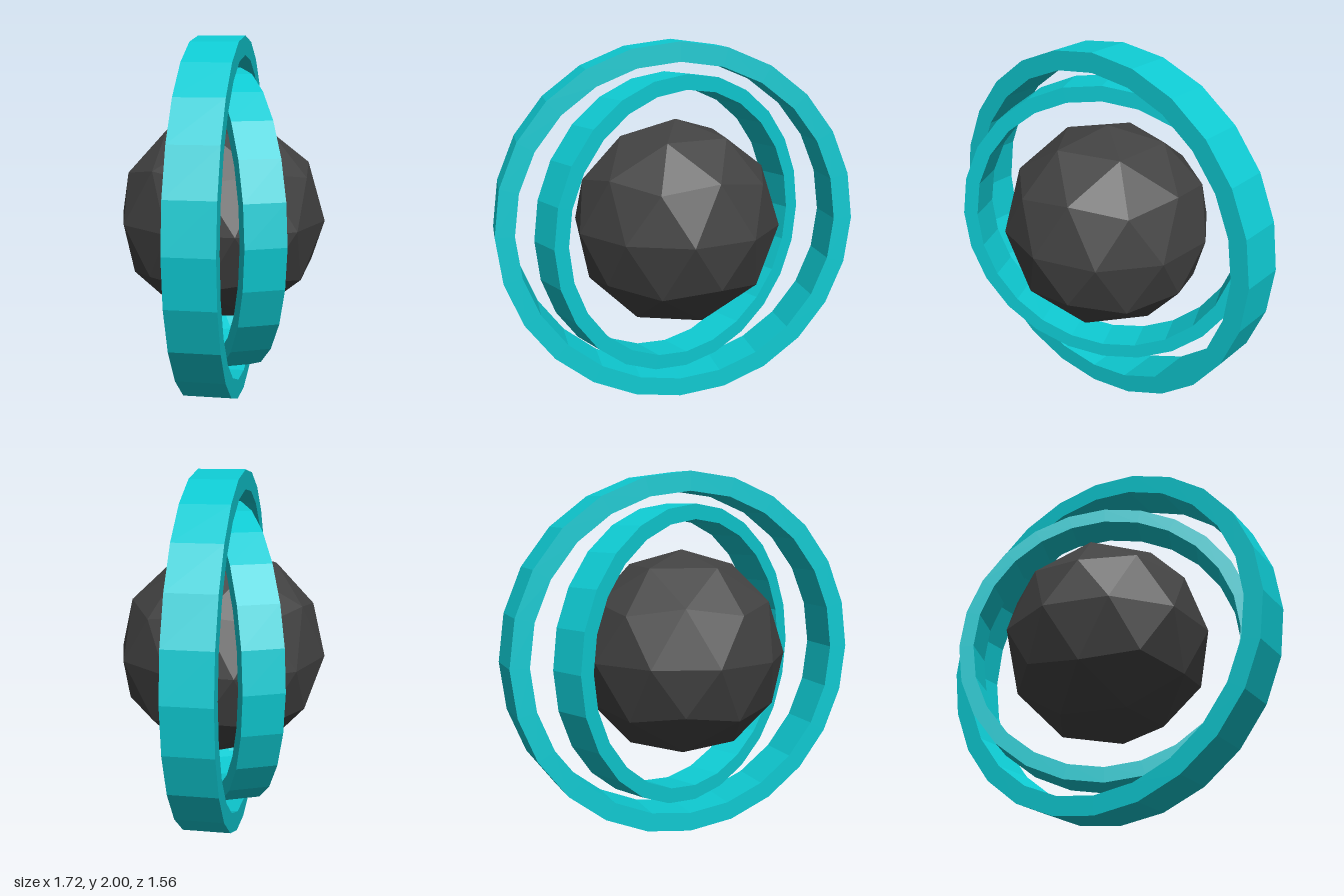
import * as THREE from 'three';

const CENTRE_Y = 1.0;

export function createModel() {
  const model = new THREE.Group();
  const teal = new THREE.MeshStandardMaterial({ color: 0x0ecad2, flatShading: true });
  teal.name = 'teal';
  const charcoal = new THREE.MeshStandardMaterial({ color: 0x424242, flatShading: true });
  charcoal.name = 'charcoal';

  // Upright flat-sided hoop with a rectangular section, turned about the vertical
  function addRing(name, outer, inner, width, turn) {
    const h = width / 2;
    const section = [[inner, -h], [outer, -h], [outer, h], [inner, h], [inner, -h]]
      .map(([x, y]) => new THREE.Vector2(x, y));
    const geometry = new THREE.LatheGeometry(section, 24).rotateX(Math.PI / 2);
    const ring = new THREE.Mesh(geometry, teal);
    ring.name = name;
    ring.position.y = CENTRE_Y;
    ring.rotation.y = turn;
    model.add(ring);
  }
  addRing('outerRing', 1.0, 0.895, 0.257, 0.675);
  addRing('innerRing', 0.828, 0.745, 0.214, 1.085);

  // Faceted core, with one corner of the icosahedron pointing straight up
  const phi = (1 + Math.sqrt(5)) / 2;
  const ball = new THREE.IcosahedronGeometry(0.576, 1)
    .rotateX(-Math.atan(phi))
    .rotateY(Math.PI / 2);
  const core = new THREE.Mesh(ball, charcoal);
  core.name = 'core';
  core.position.y = CENTRE_Y + 0.003;
  model.add(core);

  return model;
}
